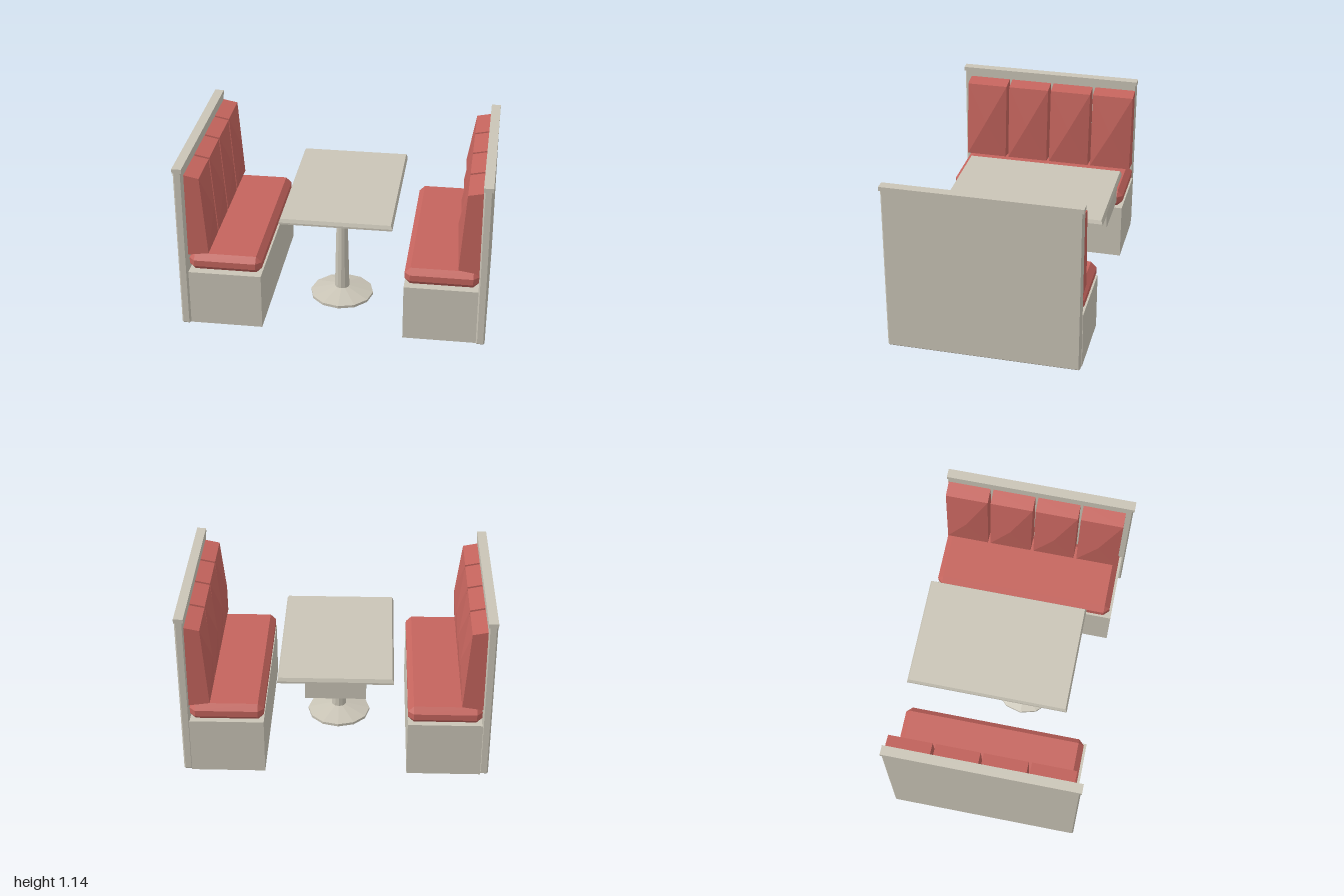
import * as THREE from 'three';
import { ConvexGeometry } from 'three/addons/geometries/ConvexGeometry.js';

const laminate = new THREE.MeshStandardMaterial({ color: 0xc9c4b6 });
laminate.name = 'warm grey laminate';
laminate.flatShading = true;
const vinyl = new THREE.MeshStandardMaterial({ color: 0xc4645d });
vinyl.name = 'red vinyl';
vinyl.flatShading = true;

const V = (x, y, z) => new THREE.Vector3(x, y, z);

function add(parent, name, geometry, material) {
  const mesh = new THREE.Mesh(geometry, material);
  mesh.name = name;
  parent.add(mesh);
  return mesh;
}

// Box given by its two corners
function box(x0, x1, y0, y1, z0, z1) {
  return new THREE.BoxGeometry(Math.abs(x1 - x0), y1 - y0, z1 - z0)
    .translate((x0 + x1) / 2, (y0 + y1) / 2, (z0 + z1) / 2);
}

// Box with every edge and corner cut off by c
function chamferBox(x0, x1, y0, y1, z0, z1, c) {
  const mid = [(x0 + x1) / 2, (y0 + y1) / 2, (z0 + z1) / 2];
  const half = [Math.abs(x1 - x0) / 2, (y1 - y0) / 2, (z1 - z0) / 2];
  const points = [];
  for (const sx of [-1, 1]) for (const sy of [-1, 1]) for (const sz of [-1, 1])
    for (let face = 0; face < 3; face++) {
      const p = [sx, sy, sz].map((s, i) => mid[i] + s * (half[i] - (i === face ? 0 : c)));
      points.push(V(...p));
    }
  return new ConvexGeometry(points);
}

// Padded back panel: leaning block with a shallow pyramid on its face
function backPanel(side, z0, z1) {
  const points = [V(side * 0.788, 0.785, (z0 + z1) / 2)];
  for (const z of [z0, z1])
    for (const [x, y] of [[0.94, 0.5], [0.94, 1.075], [0.843, 1.055], [0.805, 0.52]])
      points.push(V(side * x, y, z));
  return new ConvexGeometry(points);
}

function createBench(side) {
  const bench = new THREE.Group();
  bench.name = side > 0 ? 'leftBench' : 'rightBench';
  add(bench, 'partition', chamferBox(side * 0.94, side * 0.997, 0, 1.125, -0.627, 0.622, 0.009), laminate);
  add(bench, 'partitionCap', box(side * 0.938, side, 1.112, 1.14, -0.63, 0.63), laminate);
  add(bench, 'benchBase', box(side * 0.463, side * 0.945, 0, 0.383, -0.63, 0.602), laminate);
  add(bench, 'seatCushion', chamferBox(side * 0.463, side * 0.94, 0.385, 0.5, -0.628, 0.585, 0.037), vinyl);
  for (let i = 0; i < 4; i++) {
    const z = -0.62 + i * 0.304;
    add(bench, 'backCushion' + (i + 1), backPanel(side, z, z + 0.284), vinyl);
  }
  return bench;
}

function createTable() {
  const table = new THREE.Group();
  table.name = 'table';

  // Top with sloping edges
  const corners = [];
  for (const [y, inset] of [[0.69, 0], [0.702, 0], [0.725, 0.01]])
    for (const x of [-0.368, 0.368]) for (const z of [-0.635, 0.435])
      corners.push(V(x - Math.sign(x) * inset, y, z - Math.sign(z) * inset));
  add(table, 'tableTop', new ConvexGeometry(corners), laminate);

  // Bracket below the back edge
  add(table, 'wallBracket', box(-0.193, 0.193, 0.58, 0.692, -0.632, -0.55), laminate);

  // Faceted pedestal with foot and flared head
  const profile = [[0, 0], [0.213, 0], [0.213, 0.018], [0.05, 0.06], [0.035, 0.67], [0.09, 0.691], [0, 0.691]];
  const pedestal = new THREE.LatheGeometry(profile.map(([r, y]) => new THREE.Vector2(r, y)), 12);
  add(table, 'pedestal', pedestal, laminate).position.z = 0.1;
  return table;
}

export function createModel() {
  const model = new THREE.Group();
  model.name = 'diningBooth';
  model.add(createBench(-1), createBench(1), createTable());
  return model;
}
